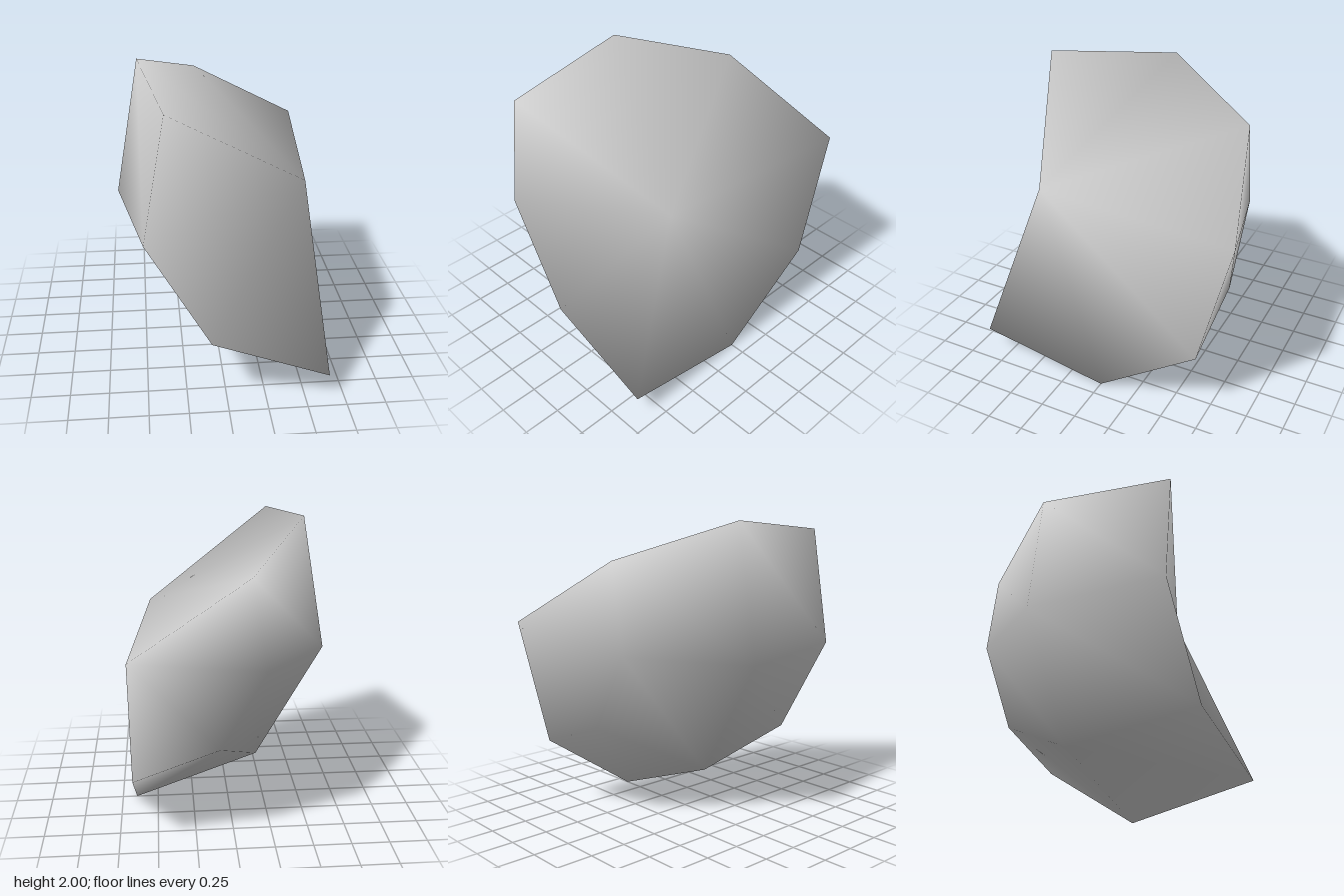
import * as THREE from 'three';

// Rounded rock chunk: a scaled arc swept in rings, closed by three fans meeting at one corner.
export function createModel() {
  const group = new THREE.Group();
  const stone = new THREE.MeshStandardMaterial({ color: 0xcccccc });
  stone.name = 'stone grey';

  // Arc around the axis (x 0.65, y 1.33), and the rings as [z, scale]
  const axis = [0.65, 1.33];
  const arc = [[-1.15, 0.67], [-1.305, -0.23], [-0.85, -1.02], [0, -1.33]];
  const rings = [[0.905, 0.88], [0, 1], [-0.69, 0.647]];
  const positions = [];
  for (const [z, s] of rings) {
    for (const [dx, dy] of arc) positions.push(axis[0] + dx * s, axis[1] + dy * s, z);
  }
  const n = arc.length, last = rings.length - 1;
  const at = (ring, col) => ring * n + col;
  const pole = rings.length * n, corner = pole + 1;
  positions.push(0.65, 1.33, -0.905, 0.52, 1.33, 0.485);

  const index = [];
  for (let j = 0; j < n - 1; j++) {
    // curved outside
    for (let r = 0; r < last; r++) {
      const a = at(r, j), b = at(r, j + 1), c = at(r + 1, j), d = at(r + 1, j + 1);
      index.push(a, c, b, c, d, b);
    }
    // back cap and front fan
    index.push(at(last, j), pole, at(last, j + 1));
    index.push(corner, at(0, j), at(0, j + 1));
  }
  // top fan and side fan
  for (let r = 0; r <= last; r++) {
    const topNext = r < last ? at(r + 1, 0) : pole;
    const sideNext = r < last ? at(r + 1, n - 1) : pole;
    index.push(corner, topNext, at(r, 0));
    index.push(corner, at(r, n - 1), sideNext);
  }

  const geometry = new THREE.BufferGeometry();
  geometry.setAttribute('position', new THREE.Float32BufferAttribute(positions, 3));
  geometry.setIndex(index);
  geometry.computeVertexNormals();

  const rock = new THREE.Mesh(geometry, stone);
  rock.name = 'rock';
  group.add(rock);
  return group;
}
